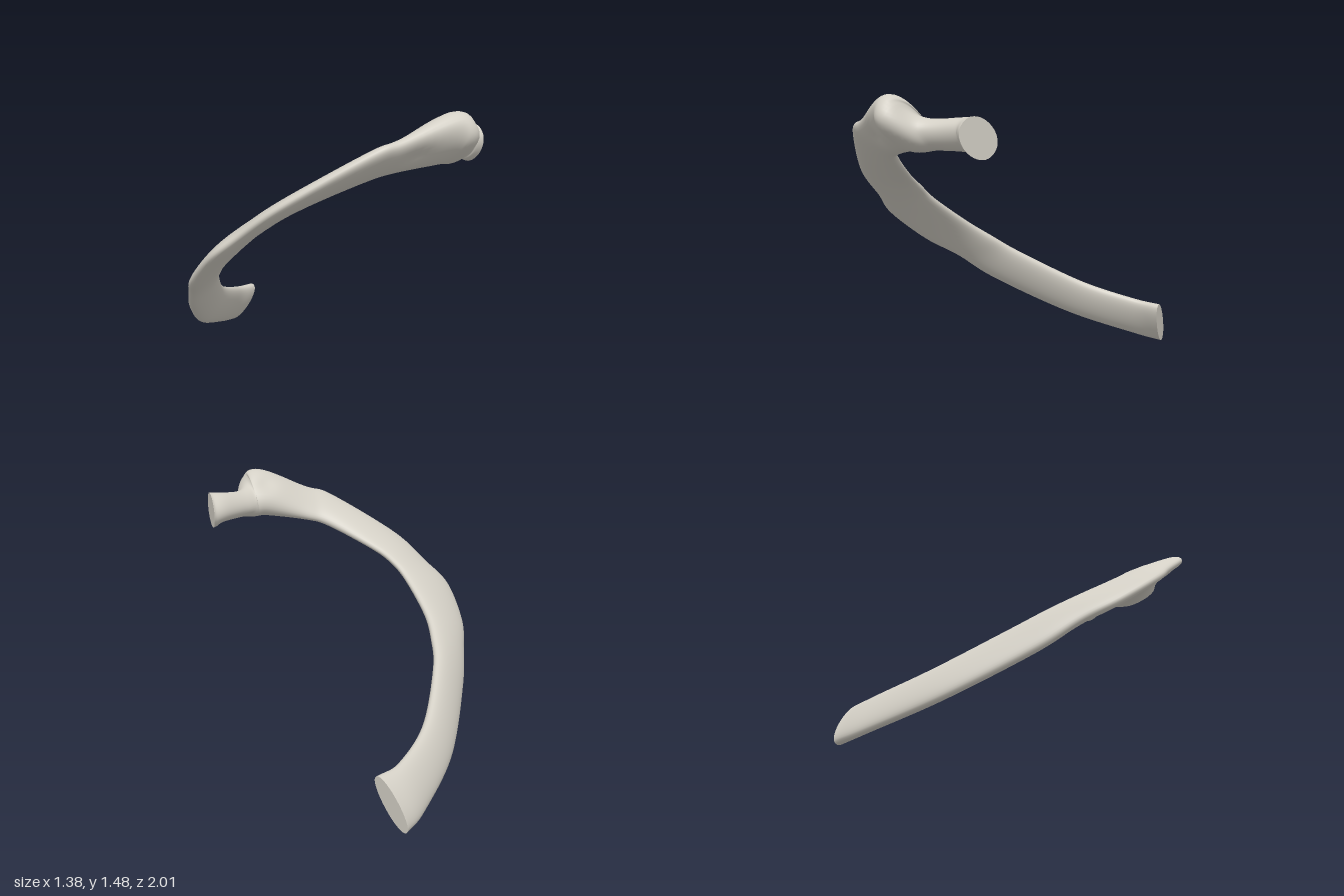
import * as THREE from 'three';

// Cross-sections from the front end to the head:
// inner edge xyz, outer edge xyz, thickness
const SECTIONS = [
  [[.25, .25, -.85], [.15, .005, -.985], .10],
  [[.10, .27, -.78], [.02, .035, -.88], .09],
  [[-.12, .36, -.57], [-.26, .155, -.58], .09],
  [[-.31, .54, -.26], [-.50, .37, -.20], .09],
  [[-.365, .64, -.10], [-.60, .52, 0], .09],
  [[-.39, .74, .06], [-.675, .63, .18], .09],
  [[-.365, .885, .28], [-.683, .80, .40], .085],
  [[-.32, .97, .39], [-.59, .92, .52], .08],
  [[-.24, 1.04, .50], [-.45, 1.08, .69], .08],
  [[-.03, 1.16, .69], [-.10, 1.31, .89], .09],
  [[.10, 1.20, .735], [.05, 1.36, .92], .10],
  [[.32, 1.24, .76], [.33, 1.465, .965], .18],
  [[.40, 1.245, .745], [.43, 1.425, .965], .17],
  [[.48, 1.25, .70], [.485, 1.365, .84], .125],
  [[.62, 1.24, .61], [.62, 1.37, .74], .13],
  [[.685, 1.225, .58], [.685, 1.365, .74], .17],
];

// Soft dents (-) and bumps (+) on the surface: centre, radius, height
const RELIEF = [
  [new THREE.Vector3(.40, 1.35, 1.0), .07, .025],
  [new THREE.Vector3(.33, 1.40, .82), .06, -.02],
  [new THREE.Vector3(.15, 1.30, .90), .07, -.018],
];

const STEPS = 132, SIDES = 36;

// Shaft lofted through the sections as flattened ovals
function boneGeometry() {
  const curve = (points) => new THREE.CatmullRomCurve3(points, false, 'catmullrom', 0.5);
  const inner = curve(SECTIONS.map((s) => new THREE.Vector3(...s[0])));
  const outer = curve(SECTIONS.map((s) => new THREE.Vector3(...s[1])));
  const thick = curve(SECTIONS.map((s) => new THREE.Vector3(s[2], 0, 0)));
  const middle = (u) => inner.getPoint(u).add(outer.getPoint(u)).multiplyScalar(0.5);

  const rings = [], index = [];
  for (let i = 0; i <= STEPS; i++) {
    const u = i / STEPS;
    const centre = middle(u);
    const tangent = middle(Math.min(1, u + 0.01)).sub(middle(Math.max(0, u - 0.01)));
    const half = outer.getPoint(u).sub(inner.getPoint(u)).multiplyScalar(0.5);
    const normal = tangent.cross(half).normalize();
    const t = thick.getPoint(u).x / 2;
    const ring = [];
    for (let j = 0; j < SIDES; j++) {
      const a = (j / SIDES) * Math.PI * 2;
      const s = Math.sign(Math.sin(a)) * Math.pow(Math.abs(Math.sin(a)), 0.9);
      const offset = half.clone().multiplyScalar(Math.cos(a)).addScaledVector(normal, t * s);
      const p = centre.clone().add(offset);
      const away = offset.normalize();
      for (const [spot, radius, height] of RELIEF) {
        const d = p.distanceTo(spot) / radius;
        p.addScaledVector(away, height * Math.exp(-d * d));
      }
      p.y = Math.max(0, p.y);
      ring.push(p);
    }
    rings.push(ring);
  }
  for (let i = 0; i < STEPS; i++) {
    for (let j = 0; j < SIDES; j++) {
      const a = i * SIDES + j, b = i * SIDES + (j + 1) % SIDES;
      index.push(a, b, a + SIDES, b, b + SIDES, a + SIDES);
    }
  }
  const geometry = new THREE.BufferGeometry().setFromPoints(rings.flat());
  geometry.setIndex(index);
  geometry.computeVertexNormals();
  return { geometry, first: rings[0], last: rings[STEPS] };
}

// Flat end face closing a ring
function capGeometry(ring, reversed) {
  const centre = new THREE.Vector3();
  ring.forEach((p) => centre.addScaledVector(p, 1 / ring.length));
  const points = [];
  ring.forEach((p, j) => {
    const q = ring[(j + 1) % ring.length];
    points.push(centre, ...(reversed ? [q, p] : [p, q]));
  });
  const geometry = new THREE.BufferGeometry().setFromPoints(points);
  geometry.computeVertexNormals();
  return geometry;
}

export function createModel() {
  const group = new THREE.Group();
  group.name = 'ribBone';
  const bone = new THREE.MeshStandardMaterial({ color: 0xd3cfc5 });
  bone.name = 'bone';

  const { geometry, first, last } = boneGeometry();
  const add = (name, part) => {
    const mesh = new THREE.Mesh(part, bone);
    mesh.name = name;
    group.add(mesh);
  };
  add('ribShaft', geometry);
  add('frontEndFace', capGeometry(first, true));
  add('headFace', capGeometry(last, false));
  return group;
}
